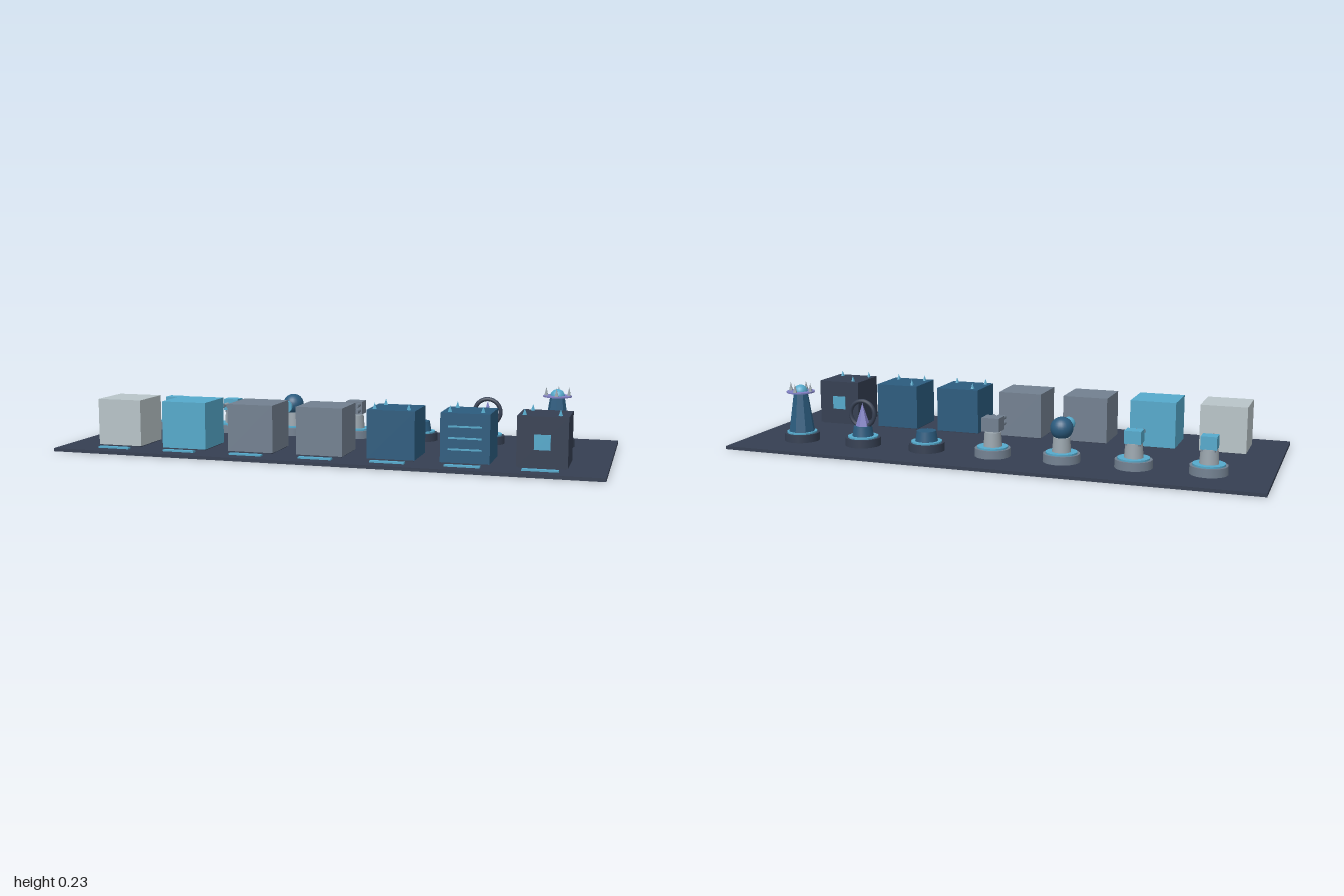
import * as THREE from 'three';

const mat = (name, color) => {
  const m = new THREE.MeshStandardMaterial({ color });
  m.name = name;
  return m;
};

export function createModel() {
  const pale = mat('pale grey', 0xb8c4c8), cyan = mat('cyan', 0x55a9cb), grey = mat('slate grey', 0x728090);
  const blue = mat('deep blue', 0x2b5b7e), dark = mat('dark navy', 0x353f52);
  const purple = mat('violet', 0x8080c4), steel = mat('steel', 0x9aa5ad);

  const root = new THREE.Group();
  root.name = 'displayBoard';

  const group = (parent, name, x, z) => {
    const g = new THREE.Group();
    g.name = name;
    g.position.set(x, 0, z);
    parent.add(g);
    return g;
  };
  const add = (parent, name, geo, material, x, y, z) => {
    const m = new THREE.Mesh(geo, material);
    m.name = name;
    m.position.set(x, y, z);
    parent.add(m);
    return m;
  };
  const box = (p, name, m, w, h, d, x, y, z) => add(p, name, new THREE.BoxGeometry(w, h, d), m, x, y, z);
  // Upright cylinder or cone between two heights
  const post = (p, name, m, r0, r1, y0, y1, sides = 24, x = 0, z = 0) => {
    const geo = new THREE.CylinderGeometry(r1, r0, y1 - y0, sides);
    return add(p, name, sides < 12 ? geo.toNonIndexed() : geo, m, x, (y0 + y1) / 2, z);
  };
  // Cylinder lying along z, from z0 forward to z1
  const barrel = (p, name, m, r0, r1, z0, z1, x, y) => {
    const geo = new THREE.CylinderGeometry(r1, r0, z1 - z0, 16).rotateX(Math.PI / 2);
    return add(p, name, geo, m, x, y, (z0 + z1) / 2);
  };
  const facet = (mesh) => {
    mesh.geometry.computeVertexNormals();
    return mesh;
  };

  box(root, 'board', dark, 2, 0.012, 0.78, 0, 0.006, 0);

  const column = (i) => (i - 3) * 0.261;

  // Row of sample blocks with a marker bar in front of each
  const S = 0.172;
  const spikeSpots = [
    [[-0.053, -0.058], [0.058, 0.055], [-0.064, 0.058]],
    [[-0.053, -0.058], [0.056, 0.052], [-0.058, 0.056]],
    [[-0.05, -0.058], [-0.064, 0.058], [0.055, 0.052]],
  ];
  [pale, cyan, grey, grey, blue, blue, dark].forEach((m, i) => {
    const g = group(root, 'block' + (i + 1), column(i), 0.196);
    box(g, 'cube', m, S, S, S, 0, 0.016 + S / 2, 0);
    box(g, 'cubeFoot', dark, S - 0.01, 0.004, S - 0.01, 0, 0.014, 0);
    box(g, 'markerBar', cyan, 0.122, 0.006, 0.019, 0, 0.015, 0.131);
    if (i >= 4) for (const [x, z] of spikeSpots[i - 4])
      facet(post(g, 'crystalSpike', cyan, 0.008, 0, 0.188, 0.21, 5, x, z));
    if (i === 5) for (const y of [0.063, 0.102, 0.142])
      box(g, 'stripe', cyan, 0.116, 0.006, 0.004, 0, y, S / 2 + 0.001);
    if (i === 6) for (const s of [-1, 1])
      box(g, 'window', cyan, 0.055, 0.052, 0.005, 0, 0.101, s * (S / 2 + 0.001));
  });

  // Row of turrets sharing one kind of base
  const turrets = [];
  for (let i = 0; i < 7; i++) {
    const g = group(root, 'turret' + (i + 1), column(i), -0.196);
    post(g, 'base', i < 4 ? grey : dark, 0.067, 0.066, 0.012, 0.042);
    post(g, 'baseRing', cyan, 0.057, 0.057, 0.042, 0.048);
    if (i < 4) post(g, 'neck', steel, 0.034, 0.03, 0.048, 0.1);
    turrets.push(g);
  }
  const [single, twin, dish, battery, stub, shrine, spire] = turrets;

  // Single and twin guns
  for (const [g, xs, w] of [[single, [0], 0.056], [twin, [-0.013, 0.013], 0.06]]) {
    box(g, 'head', cyan, w, 0.046, 0.052, 0, 0.122, 0);
    box(g, 'headPlate', grey, w - 0.008, 0.008, 0.046, 0, 0.096, 0);
    for (const x of xs) {
      barrel(g, 'barrel', steel, 0.007, 0.007, 0.02, 0.076, x, 0.124);
      barrel(g, 'muzzle', grey, 0.009, 0.009, 0.072, 0.084, x, 0.124);
    }
  }

  // Ball with a flared dish
  add(dish, 'ball', new THREE.SphereGeometry(0.041, 24, 16), blue, 0, 0.132, 0);
  barrel(dish, 'dishStem', steel, 0.009, 0.009, 0.03, 0.07, 0, 0.132);
  barrel(dish, 'dishFlare', cyan, 0.01, 0.024, 0.05, 0.082, 0, 0.132);
  barrel(dish, 'dishRim', cyan, 0.024, 0.024, 0.082, 0.091, 0, 0.132);

  // Box battery with two rows of barrels
  box(battery, 'head', grey, 0.066, 0.05, 0.06, 0, 0.13, 0);
  for (const y of [0.12, 0.142])
    for (const x of [-0.021, 0, 0.021])
      barrel(battery, 'barrel', grey, 0.008, 0.008, 0.025, 0.07, x, y);

  // Short stub
  post(stub, 'drum', blue, 0.042, 0.036, 0.048, 0.086);

  // Violet crystal within an upright ring
  post(shrine, 'pedestal', blue, 0.04, 0.034, 0.048, 0.085);
  facet(post(shrine, 'crystal', purple, 0.027, 0, 0.085, 0.172, 6));
  add(shrine, 'ring', new THREE.TorusGeometry(0.049, 0.008, 10, 32), dark, 0, 0.131, 0);

  // Tall spire with crown
  facet(post(spire, 'shaft', blue, 0.05, 0.027, 0.048, 0.198, 8));
  post(spire, 'crownDisc', purple, 0.053, 0.053, 0.198, 0.203);
  add(spire, 'dome', new THREE.SphereGeometry(0.027, 20, 8, 0, Math.PI * 2, 0, Math.PI / 2), cyan, 0, 0.2, 0);
  for (let k = 0; k < 4; k++) {
    const a = k * Math.PI / 2;
    facet(post(spire, 'crownSpike', steel, 0.008, 0, 0.202, 0.235, 6, 0.042 * Math.cos(a), 0.042 * Math.sin(a)));
  }

  return root;
}
